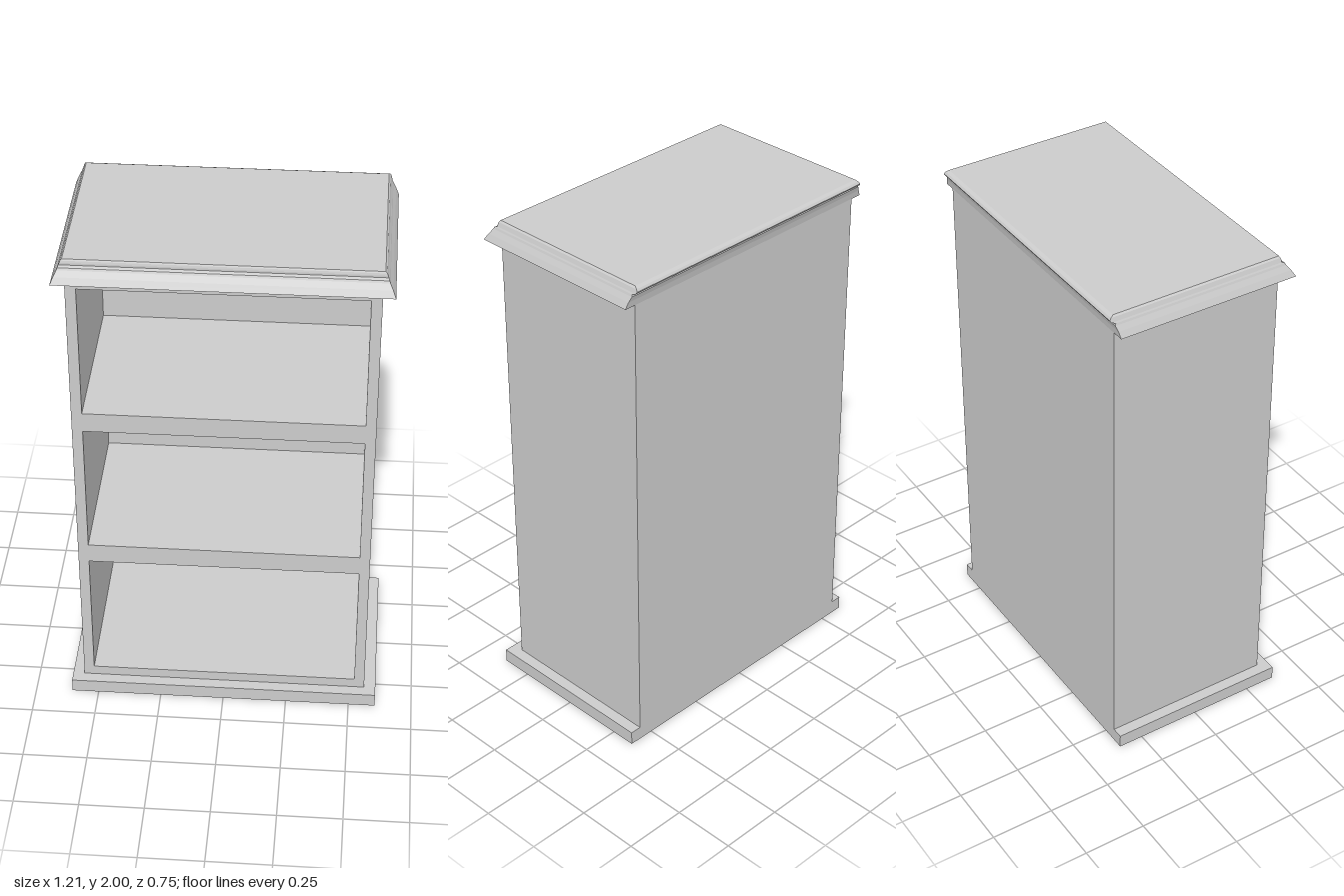
import * as THREE from 'three';

const material = new THREE.MeshStandardMaterial({ color: 0xcccccc, side: THREE.DoubleSide, flatShading: true });

function addMesh(group, name, geometry, x = 0, y = 0, z = 0) {
  const mesh = new THREE.Mesh(geometry, material);
  mesh.name = name;
  mesh.position.set(x, y, z);
  group.add(mesh);
  return mesh;
}

// Rectangle given by its edges, as a closed outline
function rectangle(target, x0, y0, x1, y1) {
  target.moveTo(x0, y0);
  target.lineTo(x1, y0);
  target.lineTo(x1, y1);
  target.lineTo(x0, y1);
  target.closePath();
  return target;
}

// Stack of rectangular cross-sections [y, half width, front z, back z], capped at both ends
function stackedRectangles(levels) {
  const positions = [];
  const corners = levels.map(([y, w, front, back]) => [
    [-w, y, front], [w, y, front], [w, y, back], [-w, y, back],
  ]);
  const quad = (a, b, c, d) => positions.push(...a, ...b, ...c, ...a, ...c, ...d);
  for (let i = 0; i < corners.length - 1; i++) {
    const low = corners[i], high = corners[i + 1];
    for (let k = 0; k < 4; k++) {
      const n = (k + 1) % 4;
      quad(low[k], low[n], high[n], high[k]);
    }
  }
  const bottom = corners[0], top = corners[corners.length - 1];
  quad(bottom[3], bottom[2], bottom[1], bottom[0]);
  quad(...top);
  const geometry = new THREE.BufferGeometry();
  geometry.setAttribute('position', new THREE.Float32BufferAttribute(positions, 3));
  geometry.computeVertexNormals();
  return geometry;
}

export function createModel() {
  const group = new THREE.Group();
  group.name = 'bookcase';

  // Plinth, flush with the back
  addMesh(group, 'plinth', new THREE.BoxGeometry(1.21, 0.055, 0.725), 0, 0.0275, 0.0125);

  // Carcass: sides, shelves and rails around three open compartments
  const face = rectangle(new THREE.Shape(), -0.56, 0.055, 0.56, 1.92);
  for (const [low, high] of [[0.095, 0.64], [0.72, 1.26], [1.34, 1.88]]) {
    face.holes.push(rectangle(new THREE.Path(), -0.52, low, 0.52, high));
  }
  const carcass = new THREE.ExtrudeGeometry(face, { depth: 0.66, bevelEnabled: false });
  addMesh(group, 'carcass', carcass, 0, 0, -0.33);

  // Back panel
  addMesh(group, 'backPanel', new THREE.BoxGeometry(1.12, 1.865, 0.02), 0, 0.9875, -0.34);

  // Crown moulding: flared front and sides, overhanging lip at the back
  addMesh(group, 'crown', stackedRectangles([
    [1.92, 0.605, 0.375, -0.35],
    [1.945, 0.594, 0.36, -0.354],
    [1.965, 0.583, 0.346, -0.36],
    [1.973, 0.58, 0.342, -0.356],
    [1.978, 0.577, 0.33, -0.372],
    [1.986, 0.574, 0.33, -0.376],
    [1.994, 0.571, 0.328, -0.37],
    [2.0, 0.565, 0.325, -0.358],
  ]));

  return group;
}
